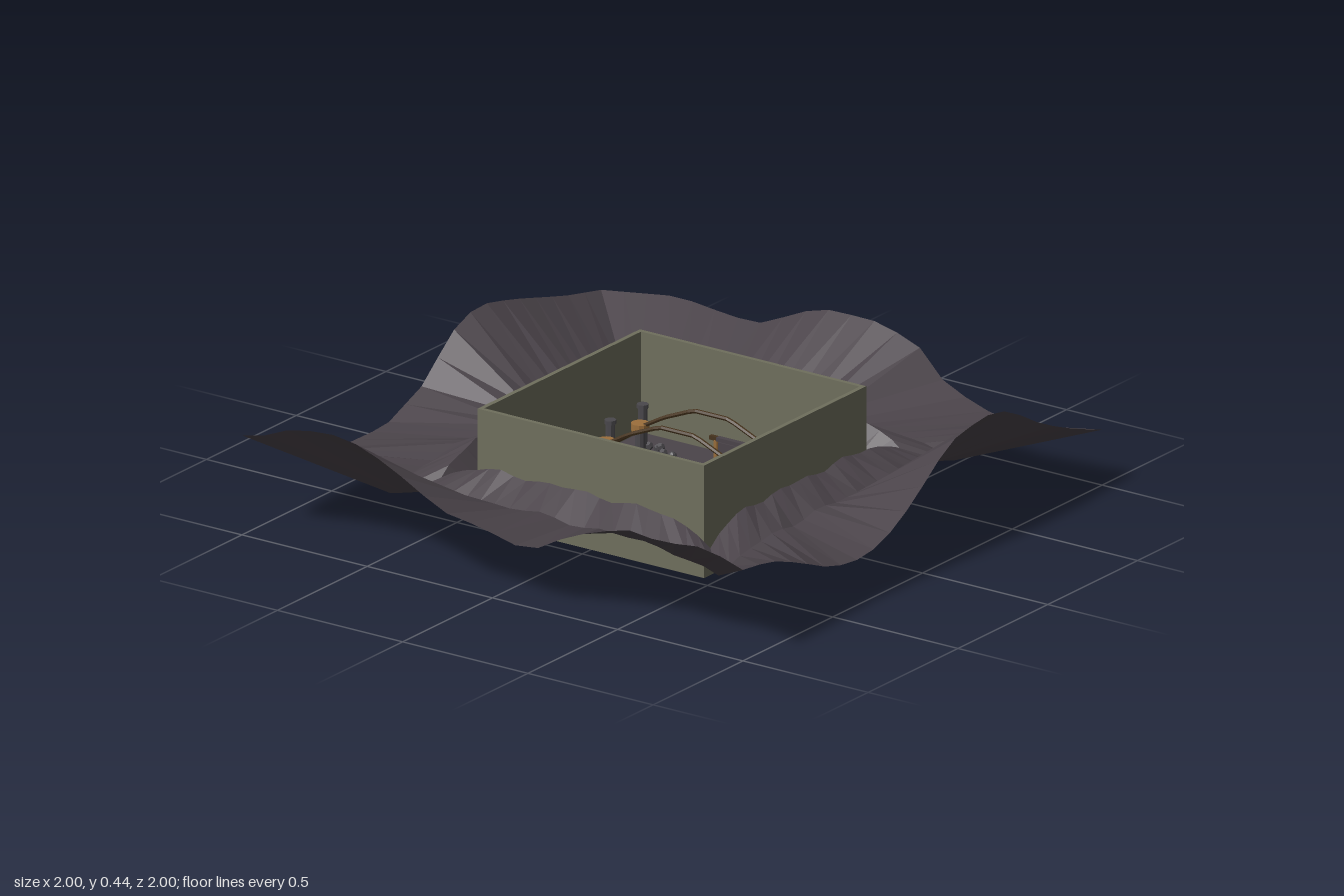
import * as THREE from 'three';

const mat = (name, color, side = THREE.FrontSide) => {
  const m = new THREE.MeshStandardMaterial({ color, side, flatShading: true });
  m.name = name;
  return m;
};

export function createModel() {
  const model = new THREE.Group();
  model.name = 'walledCourtInValley';
  const rock = mat('purple grey rock', 0x4b444a, THREE.DoubleSide);
  const wall = mat('olive wall', 0x6e6e5c);
  const dirt = mat('brown dirt', 0x745b55);
  const gold = mat('amber wood', 0x9c6f3c);
  const brown = mat('dark brown wood', 0x46331d);
  const grey = mat('dark grey stone', 0x4a484c);
  const pale = mat('pale green cloth', 0x7c8570);

  const add = (name, geo, material, x = 0, y = 0, z = 0, parent = model) => {
    const mesh = new THREE.Mesh(geo, material);
    mesh.name = name;
    mesh.position.set(x, y, z);
    parent.add(mesh);
    return mesh;
  };
  const box = (name, w, h, d, m, x, y, z) => add(name, new THREE.BoxGeometry(w, h, d), m, x, y, z);
  const post = (name, r, h, m, x, y, z, n = 10) =>
    add(name, new THREE.CylinderGeometry(r, r, h, n), m, x, y + h / 2, z);
  const tube = (name, pts, r, m) => {
    const path = new THREE.CurvePath();
    const v = pts.map(p => new THREE.Vector3(...p));
    for (let i = 1; i < v.length; i++) path.add(new THREE.LineCurve3(v[i - 1], v[i]));
    return add(name, new THREE.TubeGeometry(path, (v.length - 1) * 4, r, 6), m);
  };

  // Rocky terrain: four sloping sides, each with its own rim heights [along, y]
  const rims = {
    front: [[-1, .345], [-.93, .355], [-.83, .40], [-.67, .43], [-.55, .415], [-.42, .37], [-.2, .255], [-.05, .235],
      [.1, .20], [.2, .215], [.3, .28], [.53, .355], [.67, .34], [.85, .36], [1, .315]],
    back: [[-1, .24], [-.69, .285], [-.47, .262], [-.35, .265], [-.2, .34], [-.08, .372], [.1, .37], [.26, .33],
      [.38, .21], [.6, .14], [.78, .155], [1, .192]],
    right: [[-1, .192], [-.85, .24], [-.67, .31], [-.52, .395], [-.41, .44], [-.2, .42], [-.1, .37], [0, .30],
      [.1, .235], [.2, .185], [.32, .152], [.5, .17], [.7, .25], [.85, .30], [1, .315]],
    left: [[-1, .24], [-.8, .28], [-.5, .36], [-.35, .39], [-.22, .38], [-.1, .29], [0, .21], [.2, .135],
      [.5, .14], [.75, .22], [1, .345]],
  };
  const rimHeight = (pts, t) => {
    let i = 1;
    while (i < pts.length - 1 && pts[i][0] < t) i++;
    const [a, ya] = pts[i - 1], [b, yb] = pts[i];
    return THREE.MathUtils.lerp(ya, yb, (t - a) / (b - a));
  };
  const N = 22;
  const terrain = new THREE.Group();
  terrain.name = 'terrain';
  model.add(terrain);
  Object.entries(rims).forEach(([side, pts], s) => {
    const place = {
      front: (u, r) => [u, r], back: (u, r) => [u, -r], right: (u, r) => [r, u], left: (u, r) => [-r, u],
    }[side];
    const noise = (t, k) => (Math.sin(t * 11 + s * 2 + k) + Math.sin(t * 19 + k * 3 + s)) * .006 * (1 - t ** 4);
    // Foot, raised lip and trough around the court, then the outer rim
    const rings = [
      [.454, t => .084 - .014 * t ** 6 + noise(t, 1) * .6],
      [.54, t => .232 - .082 * t ** 6 + noise(t, 2)],
      [.655, t => .17 - .055 * t ** 4 + noise(t, 3)],
      [1, t => rimHeight(pts, t)],
    ];
    const pos = [], idx = [];
    rings.forEach(([r, h], k) => {
      for (let i = 0; i <= N; i++) {
        const t = -1 + 2 * i / N, [x, z] = place(t * r, r);
        pos.push(x, h(t), z);
        if (k && i) {
          const b = k * (N + 1) + i, a = b - N - 1;
          if (side === 'front' || side === 'left') idx.push(a - 1, b - 1, b, a - 1, b, a);
          else idx.push(a - 1, b, b - 1, a - 1, a, b);
        }
      }
    });
    const geo = new THREE.BufferGeometry();
    geo.setAttribute('position', new THREE.Float32BufferAttribute(pos, 3));
    geo.setIndex(idx);
    const flat = geo.toNonIndexed();
    flat.computeVertexNormals();
    add(side + 'Slope', flat, rock, 0, 0, 0, terrain);
  });

  // Court walls, with the floor raised inside them
  const H = .39, base = .03;
  for (const s of [-1, 1]) {
    box('endWall', .904, H, .016, wall, 0, H / 2, s * .444);
    box('sideWall', .016, H, .872, wall, s * .444, H / 2, 0);
  }
  box('floor', .872, .006, .872, rock, 0, .039, 0);

  // Dirt path with a hooked branch, outline as [x, z]
  const outline = [[-.04, .435], [.035, .435], [.04, .34], [.025, .25], [.03, .17], [.015, .05], [-.03, .01], [-.05, -.03],
    [-.045, -.1], [.07, -.105], [.09, -.05], [.075, .03], [.09, .09], [.13, .11], [.18, .07], [.19, 0], [.165, -.06],
    [.16, -.13], [.09, -.2], [.055, -.22], [.06, -.28], [.03, -.32], [0, -.37], [-.04, -.355], [-.02, -.3],
    [-.035, -.25], [-.07, -.18], [-.165, -.17], [-.13, -.08], [-.14, -.04], [-.095, .02], [-.09, .12],
    [-.055, .2], [-.075, .27], [-.05, .34]];
  const shape = new THREE.Shape(outline.map(([x, z]) => new THREE.Vector2(x, -z)));
  const pathGeo = new THREE.ExtrudeGeometry(shape, { depth: .0095, bevelEnabled: false }).rotateX(-Math.PI / 2);
  add('dirtPath', pathGeo, dirt, 0, .0345, 0);

  // Three arched beams carried on capped posts
  for (const z of [-.22, -.03, .19]) {
    for (const s of [-1, 1]) {
      post('archPost', .018, .12, grey, s * .285, base, z);
      post('postCap', .03, .026, gold, s * .285, .147, z, 12);
      post('postBase', .028, .03, grey, s * .285, base, z);
    }
    tube('archBeam', [[-.285, .158, z], [-.19, .212, z], [-.07, .262, z], [.07, .262, z], [.19, .212, z], [.285, .158, z]],
      .0075, brown);
  }

  // Side pillars, plinths and rails
  for (const s of [-1, 1]) {
    for (const z of [-.29, -.11, .085]) {
      post('sidePillar', .016, .17, grey, s * .325, base, z, 8);
      post('pillarCap', .02, .014, grey, s * .325, .195, z, 8);
    }
    for (const z of [-.05, .15]) box('plinth', .06, .03, .06, rock, s * .325, base + .015, z);
    tube('sideRail', [[s * .325, .12, -.29], [s * .325, .12, .15]], .004, brown);
    // Rubble in the back corners
    for (let i = 0; i < 4; i++)
      add('rubble', new THREE.DodecahedronGeometry(.015), grey, s * (.25 + .019 * i), .052 + .012 * (i % 2), -.3 - .012 * (i % 3));
  }

  // Small gate at the end of the path
  for (const s of [-1, 1]) {
    post('gatePost', .009, .1, gold, s * .06, base, -.33, 8);
    box('gateBarEnd', .03, .014, .014, brown, s * .068, .135, -.33);
  }
  box('gateBar', .108, .014, .018, rock, 0, .135, -.33);
  box('gatePanel', .09, .07, .02, rock, 0, .092, -.33);

  // Lamp poles joined by thin rods
  for (const [x, z] of [[-.11, -.155], [.13, -.155], [-.11, .02], [.13, .04]]) {
    post('lampPole', .006, .08, brown, x, base, z, 6);
    add('lamp', new THREE.SphereGeometry(.015, 8, 6), grey, x, .117, z);
  }
  tube('crossRod', [[-.11, .1, -.155], [.13, .1, -.155]], .003, brown);
  tube('sideRod', [[-.26, .1, .02], [-.11, .1, .02]], .003, brown);
  tube('longRod', [[.13, .1, -.24], [.13, .1, .04]], .003, brown);

  // Loose stones, barrel, cloth bundle and tilted crate
  for (const [x, z] of [[-.2, -.16], [.06, -.245], [.12, -.245], [.19, .055], [-.11, .115], [-.05, .17], [.165, .125]])
    add('stone', new THREE.DodecahedronGeometry(.012), grey, x, .048, z);
  post('barrel', .02, .06, grey, -.22, base, -.2, 10);
  box('clothBundle', .042, .04, .042, pale, -.265, .055, .02);
  box('crate', .075, .05, .055, brown, .2, .06, .21).rotation.y = -.45;

  return model;
}
